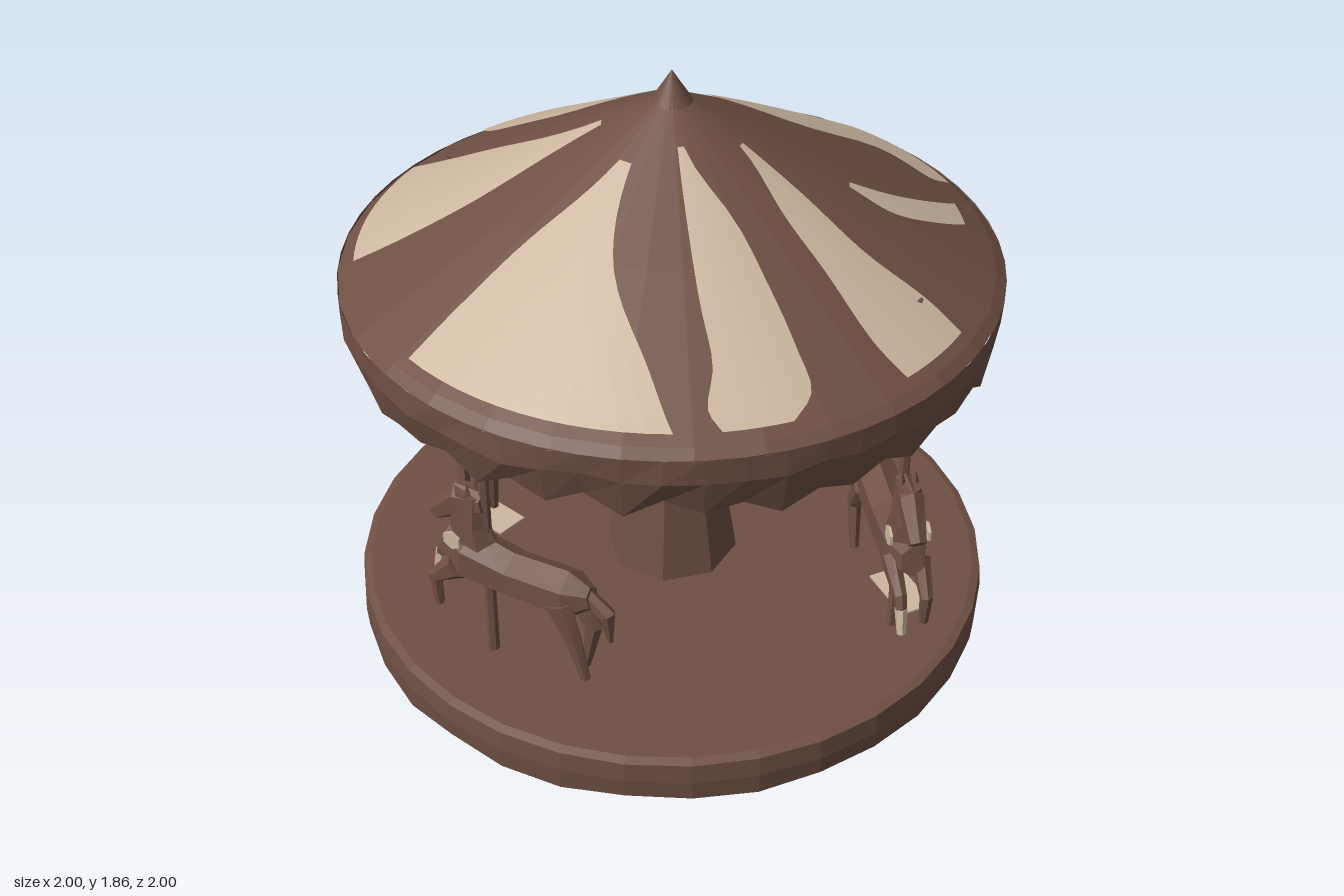
import * as THREE from 'three';

const mat = (name, color) => {
  const m = new THREE.MeshStandardMaterial({ color, flatShading: true, side: THREE.DoubleSide });
  m.name = name;
  return m;
};

function makeRandom(seed) {
  return () => (seed = (seed * 16807) % 2147483647) / 2147483647;
}

function buildGeometry(positions, indices) {
  const g = new THREE.BufferGeometry();
  g.setAttribute('position', new THREE.Float32BufferAttribute(positions, 3));
  g.setIndex(indices);
  g.computeVertexNormals();
  return g;
}

// Six-sided tube along the xy plane; sections are [x, y, halfHeight, halfWidth]
function loft(sections, z = 0, sides = 6) {
  const pos = [], idx = [], last = sections.length - 1;
  sections.forEach(([x, y, h, w], i) => {
    const a = sections[Math.max(i - 1, 0)], b = sections[Math.min(i + 1, last)];
    const len = Math.hypot(b[0] - a[0], b[1] - a[1]);
    const tx = (b[0] - a[0]) / len, ty = (b[1] - a[1]) / len;
    for (let j = 0; j < sides; j++) {
      const p = (j / sides) * Math.PI * 2, c = Math.cos(p) * h;
      pos.push(x - ty * c, y + tx * c, z + Math.sin(p) * w);
    }
  });
  for (let i = 0; i < last; i++) {
    for (let j = 0; j < sides; j++) {
      const k = (j + 1) % sides;
      const a = i * sides + j, b = i * sides + k, c = b + sides, d = a + sides;
      idx.push(a, b, c, a, c, d);
    }
  }
  const end = last * sides;
  for (let j = 1; j < sides - 1; j++) idx.push(0, j + 1, j, end, end + j, end + j + 1);
  return buildGeometry(pos, idx);
}

const roofHeight = (r) => 1.76 - 0.562 * (r - 0.06);

// Thin panel lying on the roof; sections are [radius, startAngle, endAngle]
function roofPanel(sections) {
  const rows = new THREE.CatmullRomCurve3(sections.map((s) => new THREE.Vector3(s[0] * 100, s[1], s[2]))).getPoints(16);
  const pos = [], idx = [], n = 12;
  rows.forEach((row, i) => {
    const r = row.x / 100;
    for (let j = 0; j <= n; j++) {
      const a = THREE.MathUtils.degToRad(row.y + ((row.z - row.y) * j) / n);
      pos.push(r * Math.cos(a), roofHeight(r) + 0.006, r * Math.sin(a));
      if (i && j) {
        const d = i * (n + 1) + j, b = d - n - 1;
        idx.push(b - 1, b, d, b - 1, d, d - 1);
      }
    }
  });
  return buildGeometry(pos, idx);
}

export function createModel() {
  const model = new THREE.Group();
  model.name = 'carousel';
  const brown = mat('brown', 0x6f5044);
  const cream = mat('cream', 0xcdb8a0);
  const random = makeRandom(7);

  const add = (parent, name, geometry, material = brown) => {
    const mesh = new THREE.Mesh(geometry, material);
    mesh.name = name;
    parent.add(mesh);
    return mesh;
  };
  const lathe = (points, sides) =>
    new THREE.LatheGeometry(points.map(([r, y]) => new THREE.Vector2(r, y)), sides);

  // Hollow platform with a slightly worn lower edge
  const platform = lathe([[0.995, 0], [1, 0.08], [0.995, 0.145], [0.97, 0.155], [0, 0.155]], 32);
  const pp = platform.attributes.position;
  for (let i = 0; i < 32; i++) {
    const y = 0.025 * random();
    pp.setY(i * 5, i === 0 ? 0 : y);
  }
  add(model, 'platform', platform);

  // Pale worn patches on the floor
  [[-0.46, 0.4, 0.2], [0.64, -0.42, -0.2]].forEach(([x, z, turn]) => {
    const patch = add(model, 'floorPatch', new THREE.BoxGeometry(0.2, 0.006, 0.11), cream);
    patch.position.set(x, 0.158, z);
    patch.rotation.y = turn;
  });

  // Central column with flared head and spindle
  add(model, 'column', lathe(
    [[0.21, 0.15], [0.195, 0.25], [0.16, 0.45], [0.13, 0.6], [0.125, 0.82], [0.21, 0.99], [0.215, 1.03], [0, 1.04]], 8));
  const spindle = add(model, 'spindle', new THREE.CylinderGeometry(0.06, 0.06, 0.7, 6));
  spindle.position.y = 1.38;

  // Conical canopy with a pointed finial
  add(model, 'canopy', lathe([[0.98, 1.235], [0.95, 1.26], [0.5, roofHeight(0.5)], [0.06, 1.76], [0, 1.855]], 32));

  // Ragged valance around the canopy
  const valance = new THREE.CylinderGeometry(0.98, 0.95, 0.17, 56, 2, true);
  const vp = valance.attributes.position;
  for (let i = 0; i < 57; i++) {
    const mid = 57 + i, low = 114 + i, seam = i % 56 === 0;
    const grow = 0.98 / 0.965 + (seam ? 0 : (random() - 0.5) * 0.016);
    vp.setXYZ(mid, vp.getX(mid) * grow, 0.01 + (seam ? 0 : (random() - 0.5) * 0.03), vp.getZ(mid) * grow);
    vp.setY(low, seam ? -0.1 : -0.06 - (i % 2) * 0.035 - random() * 0.05);
  }
  add(model, 'valance', valance).position.y = 1.155;

  // Cream canopy panels, angles in degrees from +x towards +z
  [
    [[0.18, 248, 254], [0.42, 243.5, 273], [0.76, 252, 274], [0.85, 254, 285], [0.93, 256, 284]],
    [[0.51, 311, 314], [0.63, 306, 315], [0.76, 300, 309], [0.87, 295, 303]],
    [[0.22, 333, 338], [0.4, 335, 350], [0.6, 337.5, 353], [0.8, 336, 355], [0.92, 337, 354]],
    [[0.17, 26, 32], [0.37, 12, 31], [0.59, 10.5, 30], [0.75, 11, 29], [0.86, 12, 31], [0.92, 17, 29]],
    [[0.23, 66, 76], [0.49, 56, 86], [0.73, 43, 88], [0.92, 37, 88]],
    [[0.2, 124, 132], [0.53, 119, 149], [0.75, 120, 154], [0.93, 122, 157]],
    [[0.14, 196, 206], [0.4, 172, 217], [0.62, 171, 220], [0.81, 172, 231], [0.93, 177, 222]],
  ].forEach((s) => add(model, 'canopyPanel', roofPanel(s), cream));

  // Horses on poles: pole x, pole z, heading x, heading z
  [
    [0.08, 0.74, -0.92, 0.35],
    [-0.73, 0.3, -0.87, -0.45],
    [-0.14, -0.7, 0.92, -0.38],
    [0.73, -0.3, 0.87, 0.45],
  ].forEach(([x, z, dx, dz]) => {
    const horse = new THREE.Group();
    horse.name = 'horse';
    horse.position.set(x, 0, z);
    horse.rotation.y = Math.atan2(-dz, dx);
    model.add(horse);

    const pole = add(horse, 'pole', new THREE.CylinderGeometry(0.014, 0.018, 1.2, 6));
    pole.position.y = 0.755;
    add(horse, 'body', loft([[-0.37, 0.53, 0.035, 0.03], [-0.3, 0.515, 0.08, 0.07], [-0.1, 0.5, 0.075, 0.07],
      [0.06, 0.51, 0.09, 0.075], [0.15, 0.53, 0.05, 0.04]]));
    add(horse, 'neck', loft([[0.04, 0.52, 0.09, 0.055], [0.06, 0.63, 0.075, 0.045], [0.05, 0.745, 0.06, 0.035]]));
    add(horse, 'head', loft([[0, 0.72, 0.035, 0.03], [0.08, 0.705, 0.055, 0.042], [0.18, 0.62, 0.03, 0.028]]));
    add(horse, 'tail', loft([[-0.35, 0.54, 0.02, 0.02], [-0.42, 0.49, 0.03, 0.025], [-0.43, 0.39, 0.008, 0.008]]));

    // Legs caught mid gallop, each with a raised front foot
    add(horse, 'frontLeg', loft([[0.08, 0.49, 0.045, 0.03], [0.2, 0.44, 0.025, 0.02], [0.215, 0.4, 0.02, 0.018]], 0.045));
    add(horse, 'frontHoof', loft([[0.213, 0.41, 0.023, 0.02], [0.235, 0.33, 0.014, 0.014]], 0.045), cream);
    add(horse, 'frontLeg', loft([[0.08, 0.48, 0.045, 0.03], [0.17, 0.4, 0.025, 0.02], [0.16, 0.3, 0.015, 0.015]], -0.045));
    add(horse, 'rearLeg', loft([[-0.27, 0.5, 0.055, 0.03], [-0.34, 0.37, 0.03, 0.022], [-0.31, 0.21, 0.015, 0.015]], 0.045));
    add(horse, 'rearLeg', loft([[-0.28, 0.5, 0.055, 0.03], [-0.33, 0.38, 0.03, 0.022], [-0.37, 0.25, 0.015, 0.015]], -0.045));

    // Ears and pale neck markings on both sides
    [-1, 1].forEach((side) => {
      const ear = add(horse, 'ear', new THREE.ConeGeometry(0.014, 0.05, 4));
      ear.position.set(0.045, 0.765, side * 0.02);
      const mark = add(horse, 'neckMark', new THREE.CylinderGeometry(0.032, 0.032, 0.008, 6), cream);
      mark.rotation.x = Math.PI / 2;
      mark.position.set(0.085, 0.585, side * 0.058);
    });
  });

  return model;
}
